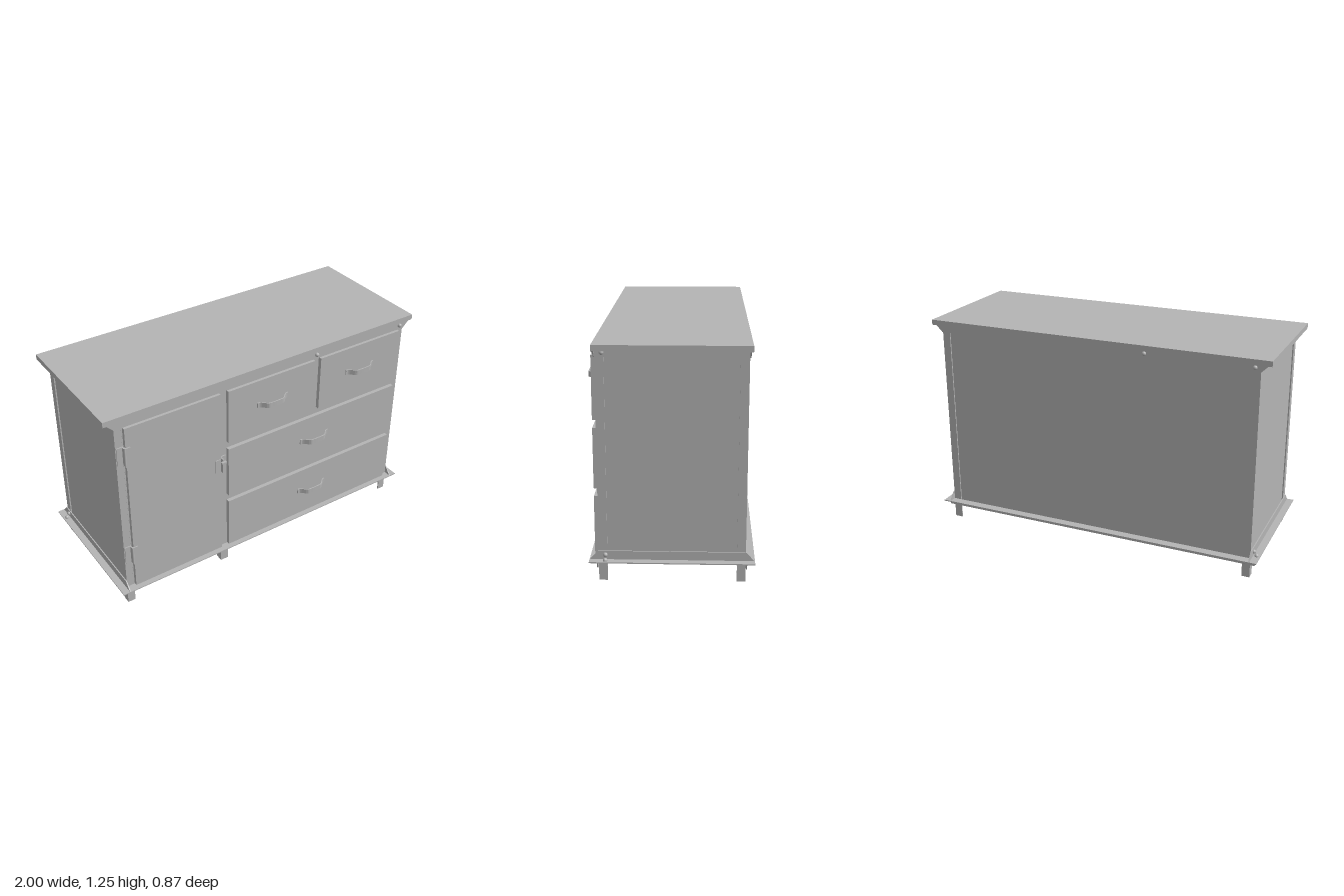
import * as THREE from 'three';

const steel = new THREE.MeshStandardMaterial({ color: 0xb4b4b4 });
steel.name = 'grey steel';

const W = 0.94;       // half width of the frame
const D = 0.3775;     // half depth of the frame
const MID_Z = -0.0075; // middle of the frame depth

function add(parent, name, geometry, x = 0, y = 0, z = 0) {
  const mesh = new THREE.Mesh(geometry, steel);
  mesh.name = name;
  mesh.position.set(x, y, z);
  parent.add(mesh);
  return mesh;
}

// Box given by its two extreme corners
function box(parent, name, x0, x1, y0, y1, z0, z1) {
  return add(parent, name, new THREE.BoxGeometry(x1 - x0, y1 - y0, z1 - z0),
    (x0 + x1) / 2, (y0 + y1) / 2, (z0 + z1) / 2);
}

// Thin plate cut to an outline
function plate(parent, name, points, depth) {
  const shape = new THREE.Shape(points.map(p => new THREE.Vector2(...p)));
  return add(parent, name, new THREE.ExtrudeGeometry(shape, { depth, bevelEnabled: false }));
}

// Symmetric trapezoid between two heights
const trapezoid = (half0, v0, half1, v1) => [[-half0, v0], [half0, v0], [half1, v1], [-half1, v1]];

function bolt(parent, x, y, z) {
  add(parent, 'bolt', new THREE.SphereGeometry(0.012, 14, 10), x, y, z);
}

// Corner angle iron running from floor to top
function cornerPost(parent, side) {
  const post = new THREE.Group();
  post.name = 'cornerPost';
  const t = 0.007;
  const outer = side * W, inner = side * (W - 0.045), skin = side * (W - t);
  box(post, 'postFront', Math.min(outer, inner), Math.max(outer, inner), 0, 1.22, D - t, D);
  box(post, 'postSide', Math.min(outer, skin), Math.max(outer, skin), 0, 1.22, D - 0.045, D - t);
  parent.add(post);
}

// Half of the angle-iron frame; a half turn gives the other half
function frameHalf() {
  const g = new THREE.Group();
  g.name = 'frameHalf';
  for (const s of [-1, 1]) cornerPost(g, s);

  // long rails, with mitred ends
  plate(g, 'topRail', trapezoid(W, 1.18, 0.98, 1.22), 0.006).position.z = D;
  plate(g, 'skirtDrop', trapezoid(0.965, 0.08, 0.985, 0.115), 0.006).position.z = D;
  const lip = plate(g, 'skirtLip', trapezoid(W, -D, 0.985, -D - 0.047), 0.006);
  lip.rotation.x = -Math.PI / 2;
  lip.position.y = 0.113;

  // short rails on the side
  const sideRail = plate(g, 'sideSkirt', trapezoid(D + 0.047, 0.115, D + 0.003, 0.165), 0.006);
  sideRail.rotation.y = Math.PI / 2;
  sideRail.position.x = W;
  const sideLip = plate(g, 'sideSkirtLip', [[W, -D], [0.985, -D - 0.047], [0.985, D + 0.047], [W, D]], 0.006);
  sideLip.rotation.x = -Math.PI / 2;
  sideLip.position.y = 0.113;
  box(g, 'sideTopRail', W - 0.006, W + 0.002, 1.18, 1.22, -D, D);
  box(g, 'sideTopLip', W, 0.98, 1.214, 1.22, -D, D);

  // bolts
  for (const x of [0.31, 0.91]) {
    bolt(g, x, 1.205, D + 0.009);
    bolt(g, x, 0.097, D + 0.009);
  }
  bolt(g, W + 0.009, 0.145, D - 0.035);
  bolt(g, W + 0.005, 1.203, D - 0.035);
  bolt(g, W + 0.025, 0.122, D - 0.035);
  return g;
}

// Bowed strap handle
function handle(parent, x, y) {
  const line = [[-0.1, 0], [-0.085, 0.002], [-0.05, 0.033], [-0.025, 0.036],
    [0.025, 0.036], [0.05, 0.033], [0.085, 0.002], [0.1, 0]];
  const curve = new THREE.CatmullRomCurve3(line.map(p => new THREE.Vector3(p[0], p[1], 0)));
  const path = curve.getPoints(28).map(p => [p.x, p.y]);
  const outline = [...path, ...path.map(p => [p[0], p[1] + 0.006]).reverse()];
  const strap = plate(parent, 'handle', outline, 0.03);
  strap.rotation.x = Math.PI / 2;
  strap.position.set(x, y + 0.015, 0.393);
}

// Door hinge: two leaves and a pin
function hinge(parent, y) {
  const g = new THREE.Group();
  g.name = 'hinge';
  box(g, 'postLeaf', -0.936, -0.902, y - 0.055, y + 0.055, 0.37, 0.376);
  box(g, 'doorLeaf', -0.898, -0.868, y - 0.055, y + 0.055, 0.39, 0.398);
  box(g, 'hingeStep', -0.904, -0.897, y - 0.055, y + 0.055, 0.37, 0.398);
  add(g, 'hingePin', new THREE.CylinderGeometry(0.006, 0.006, 0.12, 12), -0.9, y, 0.396);
  parent.add(g);
}

// Door latch: two plates, a standing tab and a turn pin
function latch(parent) {
  const g = new THREE.Group();
  g.name = 'latch';
  box(g, 'doorPlate', -0.365, -0.336, 0.68, 0.765, 0.39, 0.397);
  box(g, 'postPlate', -0.318, -0.288, 0.68, 0.765, 0.37, 0.377);
  box(g, 'latchTab', -0.329, -0.322, 0.68, 0.77, 0.37, 0.41);
  box(g, 'latchTurn', -0.34, -0.311, 0.748, 0.758, 0.408, 0.424);
  parent.add(g);
}

export function createModel() {
  const model = new THREE.Group();
  model.name = 'sideboard';

  // top slab and frame
  box(model, 'top', -1, 1, 1.22, 1.25, -0.4, 0.38);
  for (const turn of [0, Math.PI]) {
    const half = frameHalf();
    half.rotation.y = turn;
    half.position.z = MID_Z;
    model.add(half);
  }

  // sheet panels, set just inside the frame
  const body = new THREE.Group();
  body.name = 'body';
  for (const s of [-1, 1]) {
    box(body, 'sidePanel', s * 0.93 - 0.003, s * 0.93 + 0.003, 0.12, 1.22, -0.376, 0.36);
  }
  box(body, 'backPanel', -0.93, 0.93, 0.12, 1.22, -0.378, -0.372);
  box(body, 'faceFrame', -0.9, 0.93, 0.12, 1.22, 0.362, 0.3705);
  box(body, 'floor', -0.93, 0.93, 0.112, 0.12, -0.378, 0.37);
  model.add(body);

  // middle angle leg under the divider
  box(model, 'middleLegFront', -0.32, -0.272, 0, 0.12, 0.363, 0.37);
  box(model, 'middleLegSide', -0.32, -0.313, 0, 0.12, 0.325, 0.363);

  // door with its hardware
  box(model, 'door', -0.893, -0.328, 0.125, 1.18, 0.3705, 0.392);
  hinge(model, 1.01);
  hinge(model, 0.35);
  latch(model);

  // drawers: x0, x1, y0, y1, handle height
  const drawers = [
    [-0.28, 0.288, 0.85, 1.18, 1.03],
    [0.33, 0.898, 0.85, 1.18, 1.03],
    [-0.28, 0.898, 0.488, 0.808, 0.665],
    [-0.28, 0.898, 0.125, 0.445, 0.302],
  ];
  for (const [x0, x1, y0, y1, hy] of drawers) {
    box(model, 'drawer', x0, x1, y0, y1, 0.3705, 0.393);
    handle(model, (x0 + x1) / 2, hy);
  }
  return model;
}
